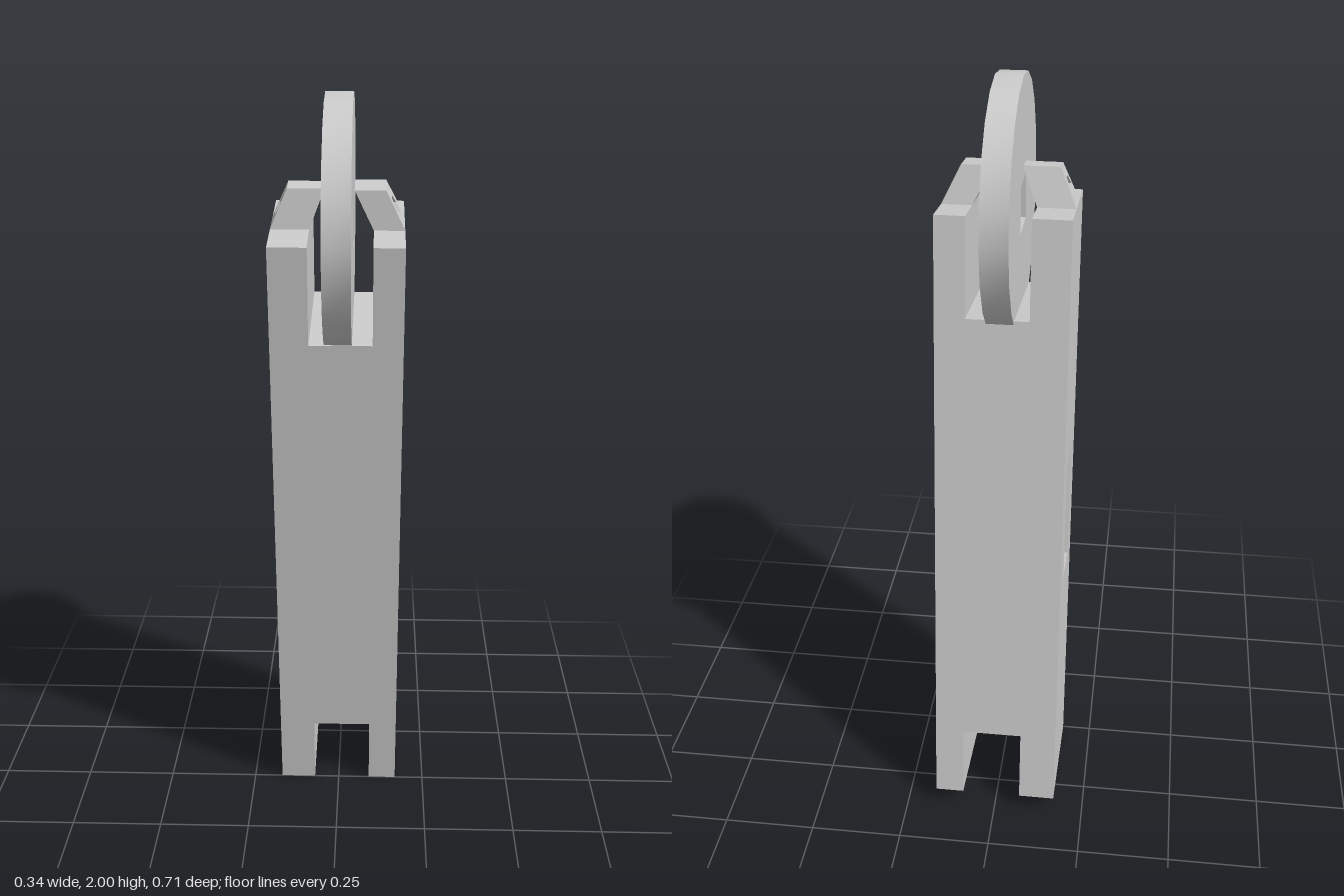
import * as THREE from 'three';
import { mergeGeometries, toCreasedNormals } from 'three/addons/utils/BufferGeometryUtils.js';

const TILT = 0.135, DEPTH = 0.36, TOP = 1.67;
const X0 = -0.169, X1 = 0.168, SLOT0 = -0.071, SLOT1 = 0.09;
const v2 = (list) => list.map(([x, y]) => new THREE.Vector2(x, y));

function part(name, geometry) {
  const mesh = new THREE.Mesh(geometry, new THREE.MeshStandardMaterial({ color: 0xcccccc }));
  mesh.name = name;
  return mesh;
}

// Flat four-cornered wall, corners counter-clockwise seen from outside
function quad(a, b, c, d) {
  const g = new THREE.BufferGeometry();
  g.setAttribute('position', new THREE.Float32BufferAttribute([a, b, c, a, c, d].flat(), 3));
  g.computeVertexNormals();
  return g;
}

// Flat panel facing +z, with optional hole
function panel(outline, hole) {
  const shape = new THREE.Shape(v2(outline));
  if (hole) shape.holes.push(new THREE.Path(v2(hole)));
  const g = new THREE.ShapeGeometry(shape).toNonIndexed();
  g.deleteAttribute('uv');
  return g;
}

// Arm: H outline front and back, with a rectangular window through the sides
function armGeometry() {
  const low = 0.202, high = 1.413;
  const outline = [
    [X0, 0], [SLOT0, 0], [SLOT0, low], [SLOT1, low], [SLOT1, 0], [X1, 0],
    [X1, TOP], [SLOT1, TOP], [SLOT1, high], [SLOT0, high], [SLOT0, TOP], [X0, TOP],
  ];
  const mirrored = outline.map(([x, y]) => [-x, y]);
  const pieces = [
    panel(outline),
    panel(mirrored).rotateY(Math.PI).translate(0, 0, -DEPTH),
  ];

  // Walls along the outline, leaving out the two pierced outer sides
  outline.forEach(([px, py], i) => {
    const [qx, qy] = outline[(i + 1) % outline.length];
    if (i === 5 || i === 11) return;
    pieces.push(quad([px, py, -DEPTH], [qx, qy, -DEPTH], [qx, qy, 0], [px, py, 0]));
  });

  // Outer sides with the window, corners given as y and z
  const opening = [[0.657, -0.25], [0.657, -0.105], [0.981, -0.105], [0.981, -0.25]];
  for (const side of [1, -1]) {
    const end = side * DEPTH;
    const cheek = panel([[0, 0], [end, 0], [end, TOP], [0, TOP]], opening.map(([y, z]) => [-side * z, y]));
    pieces.push(cheek.rotateY(side * Math.PI / 2).translate(side > 0 ? X1 : X0, 0, 0));
  }

  // Inner walls of the window
  opening.forEach(([y, z], i) => {
    const [y2, z2] = opening[(i + 1) % 4];
    pieces.push(quad([X0, y, z], [X0, y2, z2], [X1, y2, z2], [X1, y, z]));
  });
  return mergeGeometries(pieces);
}

// Leaning lug with a hexagonal hole; x runs from a to b at the foot and c to d at the tip
function lugGeometry(footHalf, tipHalf, a, b, c, d) {
  const mid = 0.183, height = 0.098;
  const shape = new THREE.Shape(v2([
    [mid - footHalf, 0], [mid + footHalf, 0], [mid + tipHalf, height], [mid - tipHalf, height],
  ]));
  const hole = [];
  for (let i = 0; i < 6; i++) {
    const t = i * Math.PI / 3;
    hole.push([0.181 + 0.026 * Math.cos(t), 0.047 + 0.026 * Math.sin(t)]);
  }
  shape.holes.push(new THREE.Path(v2(hole)));
  const g = new THREE.ExtrudeGeometry(shape, { depth: 1, bevelEnabled: false });
  const p = g.attributes.position;
  const { lerp } = THREE.MathUtils;
  for (let i = 0; i < p.count; i++) {
    const u = p.getX(i), v = p.getY(i), s = p.getZ(i), t = v / height;
    p.setXYZ(i, lerp(lerp(a, c, t), lerp(b, d, t), s), TOP + v, -u);
  }
  g.computeVertexNormals();
  return g;
}

// Twenty-sided wheel with a square hub hole
function wheelGeometry() {
  const rim = [];
  for (let i = 0; i < 20; i++) {
    const t = i * Math.PI / 10;
    rim.push([0.32 * Math.cos(t), 0.32 * Math.sin(t)]);
  }
  const shape = new THREE.Shape(v2(rim));
  const h = 0.06;
  shape.holes.push(new THREE.Path(v2([[-h, -h], [-h, h], [h, h], [h, -h]])));
  const g = new THREE.ExtrudeGeometry(shape, { depth: 0.07, bevelEnabled: false });
  return toCreasedNormals(g.rotateY(Math.PI / 2), 0.5);
}

export function createModel() {
  const model = new THREE.Group();
  model.name = 'wheeledArm';

  // Tilted arm and its two lugs
  const armGroup = new THREE.Group();
  armGroup.name = 'tiltedArm';
  armGroup.rotation.x = TILT;
  armGroup.add(part('arm', armGeometry()));
  armGroup.add(part('leftLug', lugGeometry(0.058, 0.044, SLOT1, X1, 0.042, 0.12)));
  armGroup.add(part('rightLug', lugGeometry(0.054, 0.032, X0, SLOT0, -0.126, -0.033)));
  model.add(armGroup);

  const wheel = part('wheel', wheelGeometry());
  wheel.position.set(-0.032, 1.68, 0.038);
  model.add(wheel);
  return model;
}
